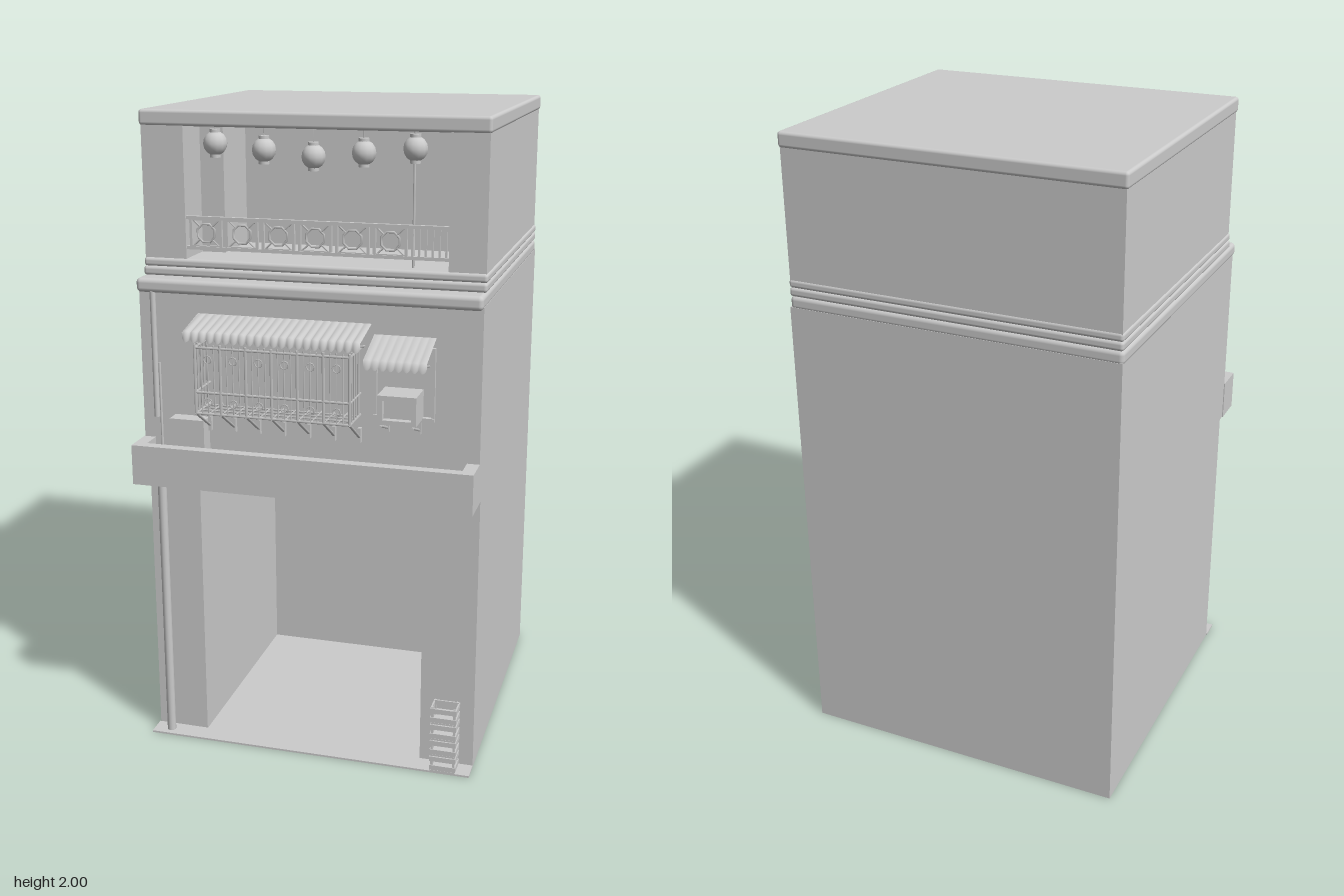
import * as THREE from 'three';
import { RoundedBoxGeometry } from 'three/addons/geometries/RoundedBoxGeometry.js';

const solid = new THREE.MeshStandardMaterial({ color: 0xcccccc });
const thin = new THREE.MeshStandardMaterial({ color: 0xcccccc, side: THREE.DoubleSide });

export function createModel() {
  const root = new THREE.Group();

  function group(name) {
    const g = new THREE.Group();
    g.name = name;
    root.add(g);
    return g;
  }
  function add(parent, name, geometry, material = solid) {
    const m = new THREE.Mesh(geometry, material);
    m.name = name;
    parent.add(m);
    return m;
  }
  // box given by its limits on each axis
  function box(parent, name, x0, x1, y0, y1, z0, z1, round = 0) {
    const s = [x1 - x0, y1 - y0, z1 - z0];
    const geo = round ? new RoundedBoxGeometry(...s, 3, round) : new THREE.BoxGeometry(...s);
    geo.translate((x0 + x1) / 2, (y0 + y1) / 2, (z0 + z1) / 2);
    return add(parent, name, geo);
  }
  // straight round bar between two points
  function rod(parent, name, a, b, r, sides = 6) {
    const p = new THREE.Vector3(...a), q = new THREE.Vector3(...b);
    const m = add(parent, name, new THREE.CylinderGeometry(r, r, p.distanceTo(q), sides));
    m.position.copy(p).add(q).multiplyScalar(0.5);
    m.quaternion.setFromUnitVectors(new THREE.Vector3(0, 1, 0), q.sub(p).normalize());
    return m;
  }
  // vertical walls following a closed plan of [x, z] corners
  function walls(parent, name, plan, y0, y1) {
    const pos = [];
    plan.forEach(([ax, az], i) => {
      const [bx, bz] = plan[(i + 1) % plan.length];
      pos.push(ax, y0, az, bx, y0, bz, bx, y1, bz, ax, y0, az, bx, y1, bz, ax, y1, az);
    });
    const geo = new THREE.BufferGeometry();
    geo.setAttribute('position', new THREE.Float32BufferAttribute(pos, 3));
    geo.computeVertexNormals();
    return add(parent, name, geo, thin);
  }

  // ground floor: open shell with a deep shop recess
  const ground = group('groundFloor');
  walls(ground, 'groundWalls', [[0.355, 0.41], [0.525, 0.41], [0.525, -0.575], [-0.525, -0.575],
    [-0.525, 0.41], [-0.36, 0.41], [-0.36, -0.32], [0.355, -0.32]], 0, 0.885);
  box(ground, 'shopFloor', -0.36, 0.355, 0.001, 0.004, -0.32, 0.41);
  box(ground, 'frontStep', -0.528, 0.525, 0, 0.006, 0.41, 0.475);

  // middle floor
  const middle = group('middleFloor');
  box(middle, 'middleBlock', -0.525, 0.525, 0.885, 1.475, -0.575, 0.438);

  // hollow ledge over the shop front
  const ledge = group('ledge');
  box(ledge, 'ledgeBottom', -0.528, 0.525, 0.885, 0.96, 0.435, 0.538);
  box(ledge, 'ledgeFront', -0.528, 0.525, 0.96, 1.01, 0.505, 0.538);
  for (const [a, b] of [[-0.528, -0.49], [0.487, 0.525]])
    box(ledge, 'ledgeEnd', a, b, 0.96, 1.01, 0.435, 0.505);
  box(ledge, 'ledgeBox', -0.42, -0.31, 0.96, 1.09, 0.44, 0.49);

  // cornices and roof
  const trim = group('cornices');
  box(trim, 'lowerCornice', -0.528, 0.525, 1.467, 1.51, -0.575, 0.458, 0.014);
  box(trim, 'middleCornice', -0.526, 0.525, 1.508, 1.537, -0.575, 0.398, 0.01);
  box(trim, 'upperCornice', -0.526, 0.525, 1.535, 1.562, -0.575, 0.393, 0.01);
  box(trim, 'roofSlab', -0.528, 0.525, 1.953, 2.0, -0.578, 0.39, 0.01);

  // top floor with a stepped balcony recess
  walls(group('topFloor'), 'topWalls', [[0.41, 0.385], [0.52, 0.385], [0.52, -0.572], [-0.522, -0.572],
    [-0.522, 0.385], [-0.39, 0.385], [-0.39, 0.25], [-0.315, 0.25], [-0.315, 0.05], [0.41, 0.05]],
  1.555, 1.96);

  // balcony railing: patterned panels and a short run of bars
  const railing = group('balconyRailing');
  const rz = 0.372;
  for (const y of [1.595, 1.685])
    box(railing, 'rail', -0.39, 0.41, y - 0.005, y + 0.005, rz - 0.006, rz + 0.006);
  for (let i = 0; i < 6; i++) {
    const x = -0.33 + i * 0.113, h = 0.047;
    for (const s of [-1, 1]) {
      box(railing, 'panelSide', x + s * h - 0.004, x + s * h + 0.004, 1.59, 1.69, rz - 0.005, rz + 0.005);
      box(railing, 'panelEdge', x - h, x + h, 1.64 + s * 0.039 - 0.002, 1.64 + s * 0.039 + 0.002, rz - 0.003, rz + 0.003);
      for (const t of [-1, 1])
        rod(railing, 'panelSpoke', [x + s * 0.02, 1.64 + t * 0.02, rz], [x + s * 0.043, 1.64 + t * 0.041, rz], 0.0025, 4);
    }
    const ring = add(railing, 'panelRing', new THREE.TorusGeometry(0.029, 0.0035, 4, 8));
    ring.position.set(x, 1.64, rz);
    ring.rotation.z = Math.PI / 8;
  }
  for (let x = 0.3; x < 0.41; x += 0.02)
    box(railing, 'railBar', x - 0.003, x + 0.003, 1.595, 1.685, rz - 0.003, rz + 0.003);
  rod(railing, 'balconyPole', [0.298, 1.56, 0.345], [0.298, 1.955, 0.345], 0.004);

  // hanging lanterns
  const lanterns = group('lanterns');
  for (let i = -2; i <= 2; i++) {
    const x = 0.005 + i * 0.15, y = 1.875 + Math.abs(i) * 0.015;
    add(lanterns, 'lantern', new THREE.SphereGeometry(0.036, 12, 8)).position.set(x, y, 0.368);
    for (const s of [-1, 1])
      rod(lanterns, 'lanternCap', [x, y + s * 0.031, 0.368], [x, y + s * 0.041, 0.368], 0.016, 10);
    rod(lanterns, 'lanternCord', [x, y + 0.04, 0.368], [x, 1.955, 0.368], 0.0015, 4);
  }

  // barred window cage
  const cage = group('windowCage');
  const cx0 = -0.305, cx1 = 0.165, cz = 0.557;
  for (const y of [1.135, 1.2, 1.335]) {
    rod(cage, 'cageRail', [cx0, y, cz], [cx1, y, cz], 0.004, 4);
    for (const x of [cx0, cx1]) rod(cage, 'cageSideRail', [x, y, 0.437], [x, y, cz], 0.004, 4);
  }
  for (let i = 0; i <= 24; i++) {
    const x = cx0 + (cx1 - cx0) * i / 24;
    rod(cage, 'cageBar', [x, 1.135, cz], [x, 1.345, cz], i % 4 ? 0.002 : 0.0045, 4);
    if (i % 4 === 2) for (const y of [1.17, 1.3])
      add(cage, 'cageScroll', new THREE.TorusGeometry(0.012, 0.002, 4, 8)).position.set(x, y, cz);
    if (i % 2 === 0) rod(cage, 'cageFloorBar', [x, 1.135, 0.437], [x, 1.135, cz], 0.0025, 4);
  }
  for (const x of [cx0, cx1]) for (let z = 0.46; z < 0.55; z += 0.025)
    rod(cage, 'cageSideBar', [x, 1.135, z], [x, 1.345, z], 0.0025, 4);
  for (let z = 0.46; z < 0.55; z += 0.03)
    rod(cage, 'cageFloorRail', [cx0, 1.135, z], [cx1, 1.135, z], 0.0025, 4);
  for (let i = 0; i < 7; i++) {
    const x = cx0 + (cx1 - cx0) * i / 6;
    rod(cage, 'cageBracket', [x, 1.135, cz], [x, 1.06, 0.437], 0.0045, 5);
    box(cage, 'bracketFoot', x - 0.005, x + 0.005, 1.05, 1.095, 0.437, 0.452);
  }

  // sloping awnings with corrugated cloth and a scalloped hem
  function awning(name, x0, x1, yTop, yLow, zLow, waves, ripple) {
    const g = group(name), n = waves * 6, depth = zLow - 0.437;
    const wave = x => Math.abs(Math.sin((x - x0) / (x1 - x0) * Math.PI * waves));
    const cloth = new THREE.PlaneGeometry(x1 - x0, 1, n, 2);
    const p = cloth.attributes.position;
    for (let i = 0; i < p.count; i++) {
      const x = p.getX(i) + (x0 + x1) / 2, row = Math.floor(i / (n + 1));
      const w = wave(x);
      if (row === 0) p.setXYZ(i, x, yTop, 0.437);
      else if (row === 1) p.setXYZ(i, x, yLow + 0.028 + w * ripple, 0.437 + depth * 0.97);
      else p.setXYZ(i, x, yLow + 0.01 - w * 0.01, zLow - ripple + w * ripple);
    }
    cloth.computeVertexNormals();
    add(g, 'awningCloth', cloth, thin);
    for (const x of [x0 + 0.02, x1 - 0.02]) {
      rod(g, 'awningArm', [x, yTop - 0.01, 0.437], [x, yLow + 0.018, zLow - 0.006], 0.003, 4);
      rod(g, 'awningStay', [x, yLow - 0.01, 0.437], [x, yLow + 0.018, zLow - 0.006], 0.003, 4);
    }
  }
  awning('largeAwning', -0.338, 0.198, 1.41, 1.352, 0.573, 22, 0.006);
  awning('smallAwning', 0.206, 0.39, 1.38, 1.305, 0.57, 8, 0.003);

  // small window with a cooling unit on brackets
  const unit = group('smallWindow');
  for (const x of [0.212, 0.385]) box(unit, 'windowSide', x - 0.005, x + 0.005, 1.13, 1.35, 0.437, 0.45);
  box(unit, 'windowSill', 0.207, 0.39, 1.13, 1.142, 0.437, 0.455);
  const face = new THREE.Shape([[0.24, 1.138], [0.355, 1.138], [0.355, 1.225], [0.24, 1.225]]
    .map(c => new THREE.Vector2(...c)));
  face.holes.push(new THREE.Path([[0.255, 1.152], [0.255, 1.21], [0.34, 1.21], [0.34, 1.152]]
    .map(c => new THREE.Vector2(...c))));
  add(unit, 'unitCase', new THREE.ExtrudeGeometry(face, { depth: 0.1, bevelEnabled: false }))
    .position.z = 0.437;
  box(unit, 'unitGrille', 0.254, 0.341, 1.151, 1.211, 0.437, 0.515);
  for (const x of [0.25, 0.345]) {
    rod(unit, 'unitArm', [x, 1.133, 0.437], [x, 1.133, 0.54], 0.005, 4);
    rod(unit, 'unitBracket', [x, 1.133, 0.53], [x, 1.1, 0.437], 0.004, 4);
    box(unit, 'unitFoot', x - 0.005, x + 0.005, 1.09, 1.135, 0.437, 0.448);
  }

  // drain pipes
  const pipes = group('drainPipes');
  rod(pipes, 'lowerPipe', [-0.472, 0, 0.445], [-0.472, 0.89, 0.445], 0.014, 12);
  rod(pipes, 'upperPipe', [-0.478, 1.08, 0.447], [-0.478, 1.47, 0.447], 0.009, 12);
  rod(pipes, 'sidePipe', [-0.464, 0.96, 0.447], [-0.464, 1.25, 0.447], 0.004, 8);

  // stack of slatted crates
  const crates = group('crates');
  for (let i = 0; i < 4; i++) {
    const y = 0.006 + i * 0.055;
    box(crates, 'crateFloor', 0.402, 0.48, y, y + 0.005, 0.418, 0.478);
    for (const h of [0.006, 0.036]) {
      for (const z of [0.416, 0.474]) box(crates, 'crateSlat', 0.4, 0.482, y + h, y + h + 0.016, z, z + 0.005);
      for (const x of [0.4, 0.477]) box(crates, 'crateEnd', x, x + 0.005, y + h, y + h + 0.016, 0.416, 0.479);
    }
    for (const x of [0.403, 0.472]) for (const z of [0.419, 0.469])
      box(crates, 'cratePost', x, x + 0.007, y, y + 0.055, z, z + 0.007);
  }
  return root;
}
